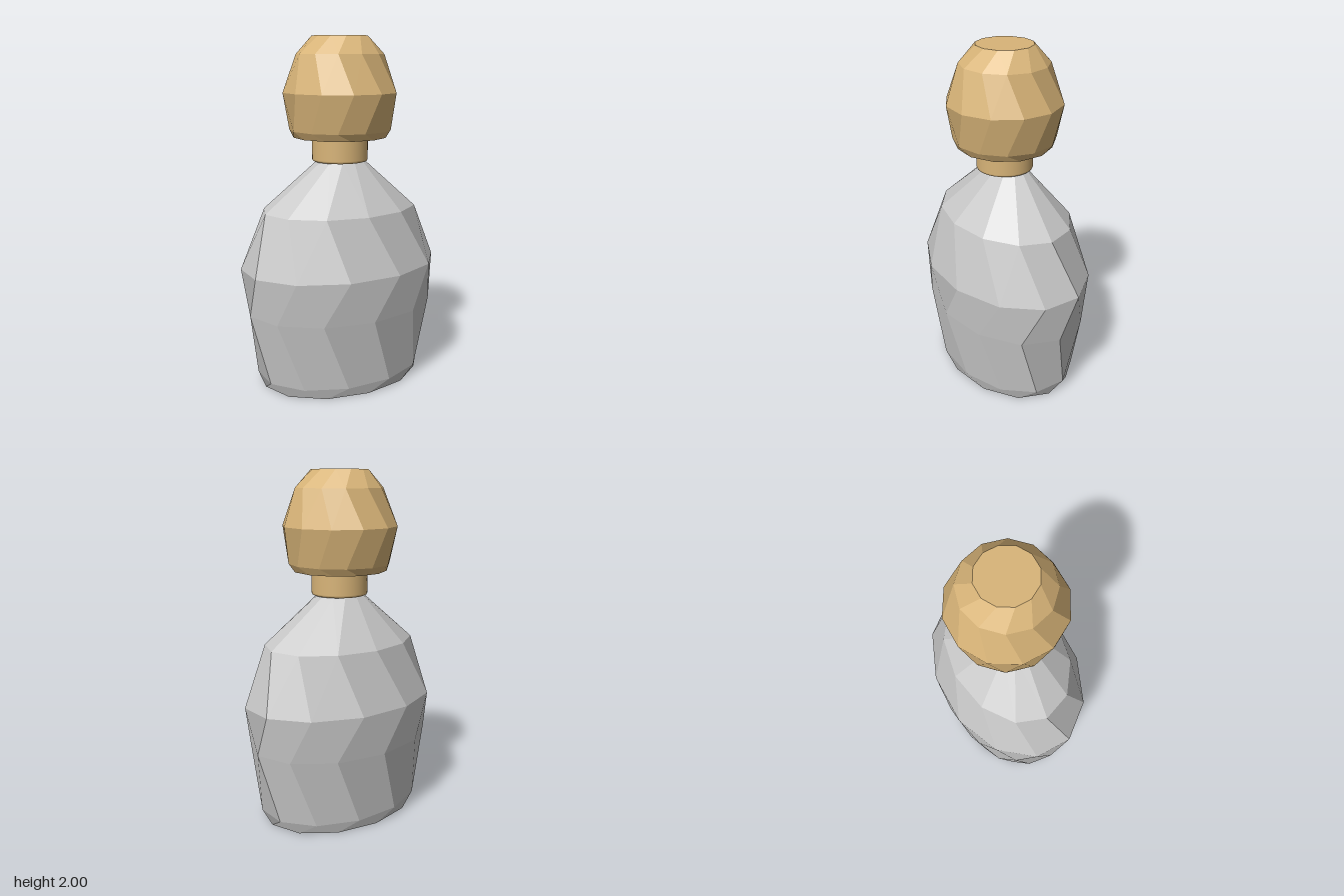
import * as THREE from 'three';

const SIDES = 12;

// Faceted solid from elliptical rings [y, rx, rz, twisted]; alternate rings are
// turned back by half a side, and each four-cornered facet is shaded flat.
function facetedSolid(rings) {
  const position = [], normal = [];
  const corners = rings.map(([y, rx, rz, twisted]) =>
    Array.from({ length: SIDES }, (_, i) => {
      const t = ((i - (twisted ? 0.5 : 0)) / SIDES) * Math.PI * 2;
      return new THREE.Vector3(Math.cos(t) * rx, y, Math.sin(t) * rz);
    }));
  const tri = (a, b, c, n) => {
    for (const p of [a, b, c]) {
      position.push(p.x, p.y, p.z);
      normal.push(n.x, n.y, n.z);
    }
  };

  // Side facets
  for (let k = 0; k < rings.length - 1; k++) {
    for (let i = 0; i < SIDES; i++) {
      const j = (i + 1) % SIDES;
      const a = corners[k][i], b = corners[k + 1][i];
      const c = corners[k + 1][j], d = corners[k][j];
      const n = c.clone().sub(a).cross(d.clone().sub(b)).normalize();
      if (rings[k][3]) {
        tri(a, b, d, n);
        tri(b, c, d, n);
      } else {
        tri(a, b, c, n);
        tri(a, c, d, n);
      }
    }
  }

  // Flat ends
  const low = corners[0], high = corners[corners.length - 1];
  const up = new THREE.Vector3(0, 1, 0), down = new THREE.Vector3(0, -1, 0);
  for (let i = 1; i < SIDES - 1; i++) {
    tri(low[0], low[i], low[i + 1], down);
    tri(high[0], high[i + 1], high[i], up);
  }

  const geometry = new THREE.BufferGeometry();
  geometry.setAttribute('position', new THREE.Float32BufferAttribute(position, 3));
  geometry.setAttribute('normal', new THREE.Float32BufferAttribute(normal, 3));
  return geometry;
}

export function createModel() {
  const model = new THREE.Group();
  model.name = 'bottle';

  const glass = new THREE.MeshStandardMaterial({ color: 0xc8c8c8 });
  glass.name = 'grey glass';
  const gold = new THREE.MeshStandardMaterial({ color: 0xd8b478 });
  gold.name = 'gold';

  const add = (name, geometry, material) => {
    const mesh = new THREE.Mesh(geometry, material);
    mesh.name = name;
    model.add(mesh);
  };

  // Oval faceted bottle
  add('body', facetedSolid([
    [0, 0.49, 0.353, false],
    [0.06, 0.515, 0.37, true],
    [0.45, 0.575, 0.413, false],
    [0.70, 0.602, 0.433, true],
    [1.03, 0.47, 0.337, false],
    [1.30, 0.15, 0.108, true],
  ]), glass);

  // Smooth round collar with softened rims
  const collar = [
    [0, 1.302], [0.146, 1.302], [0.15, 1.302], [0.157, 1.305], [0.16, 1.312], [0.16, 1.316],
    [0.16, 1.426], [0.16, 1.43], [0.157, 1.437], [0.15, 1.44], [0.146, 1.44], [0, 1.44],
  ].map(([r, y]) => new THREE.Vector2(r, y));
  add('collar', new THREE.LatheGeometry(collar, 48), gold);

  // Round faceted stopper
  add('stopper', facetedSolid([
    [1.44, 0.268, 0.268, true],
    [1.48, 0.29, 0.29, false],
    [1.69, 0.327, 0.327, true],
    [1.90, 0.248, 0.248, false],
    [2.00, 0.16, 0.16, true],
  ]), gold);

  return model;
}
